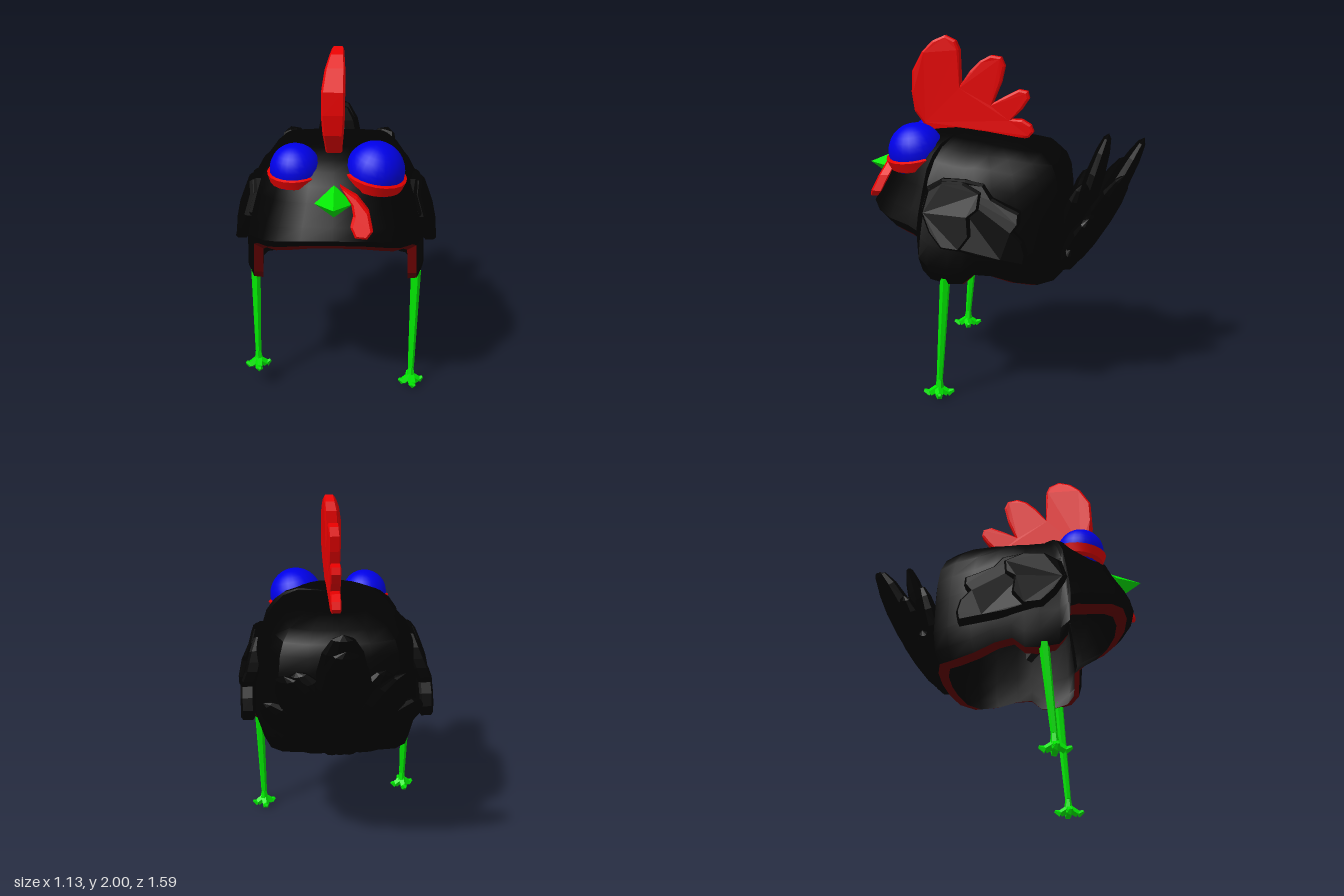
import * as THREE from 'three';
import { toCreasedNormals } from 'three/addons/utils/BufferGeometryUtils.js';

const paint = (name, color) => Object.assign(new THREE.MeshStandardMaterial({ color }), { name });

export function createModel() {
  const black = paint('black felt', 0x020202);
  const red = paint('red', 0xe70000);
  const darkRed = paint('dark red trim', 0x640000);
  const blue = paint('blue', 0x0000e7);
  const green = paint('green', 0x00e700);
  const model = new THREE.Group();
  model.name = 'birdHat';

  const add = (name, geometry, material, parent = model) => {
    const mesh = new THREE.Mesh(geometry, material);
    mesh.name = name;
    parent.add(mesh);
    return mesh;
  };
  const flat = (g) => {
    const out = g.index ? g.toNonIndexed() : g;
    out.computeVertexNormals();
    return out;
  };
  const fromIndex = (points, index) => {
    const g = new THREE.BufferGeometry();
    g.setAttribute('position', new THREE.Float32BufferAttribute(points.flat(), 3));
    g.setIndex(index);
    return g;
  };
  // Moves each vertex by a rule
  const warp = (g, rule) => {
    const p = g.attributes.position, v = new THREE.Vector3();
    for (let i = 0; i < p.count; i++) {
      rule(v.fromBufferAttribute(p, i));
      p.setXYZ(i, v.x, v.y, v.z);
    }
    return g;
  };
  // Joins closed rings of equal length
  const loft = (rings) => {
    const n = rings[0].length, index = [];
    for (let r = 0; r < rings.length - 1; r++) {
      for (let i = 0; i < n; i++) {
        const a = r * n + i, b = r * n + (i + 1) % n;
        index.push(a, b, b + n, a, b + n, a + n);
      }
    }
    return fromIndex(rings.flat(), index);
  };
  const plate = (pts, depth, bevel) => new THREE.ExtrudeGeometry(
    new THREE.Shape(pts.map((p) => new THREE.Vector2(...p))),
    { depth: depth - 2 * bevel, bevelEnabled: true, bevelSize: bevel, bevelThickness: bevel,
      bevelOffset: -bevel, bevelSegments: 1 }).translate(0, 0, bevel - depth / 2);

  // Hat shell: half plan outline as x, z, rim height
  const half = [[0, .75, 1.04], [.17, .73, 1.03], [.3, .67, 1], [.38, .59, .97], [.45, .47, .945],
    [.475, .42, .92], [.48, .41, .75], [.485, .36, .7], [.5, .25, .68], [.5, .17, .685], [.5, .1, .74],
    [.48, 0, .73], [.45, -.13, .69], [.41, -.26, .67], [.34, -.35, .68], [.18, -.39, .69], [0, -.4, .69]];
  const outline = [...half, ...half.slice(1, -1).reverse().map(([x, z, y]) => [-x, z, y])];
  // Dome rows: height, then plan scale at the side, front and back
  const dome = [[0, .95, .93, .93], [.1, .99, 1, .98], [.25, 1, .95, 1], [.5, .98, .84, .99],
    [.67, .92, .78, .98], [.8, .82, .68, .96], [.89, .66, .58, .91], [.96, .45, .42, .8],
    [.99, .22, .22, .5], [1, 0, 0, 0]];
  const crown = (z) => 1.49 - .14 * Math.max(0, .3 - z) - .1 * Math.max(0, z - .4);
  const ring = ([h, side, front, back], shrink, drop, lip) => outline.map(([x, z, y]) => {
    const f = Math.min(1, Math.max(0, (z - .1) / .5)), b = Math.min(1, Math.max(0, (.1 - z) / .48));
    const k = shrink * (side + (front - side) * f + (back - side) * b);
    const zz = .15 + (z - .15) * k;
    const base = y - lip * (z > .41 ? .04 : .015);
    return [x * k, base + (crown(zz) - drop - base) * h, zz];
  });
  const outer = dome.map((row) => ring(row, 1, 0, 0));
  const inner = dome.map((row) => ring(row, .89, .06, 1));
  add('hatShell', toCreasedNormals(loft(outer), .6), black);
  add('hatLining', toCreasedNormals(loft([...inner].reverse()), .6), black);
  add('rim', flat(loft([inner[0], outer[0]])), darkRed);

  // Comb, thinner toward the back and the tip
  const combPts = [[.4, 1.4], [.47, 1.5], [.52, 1.57], [.535, 1.68], [.53, 1.8], [.47, 1.91], [.41, 1.97],
    [.34, 2], [.28, 1.97], [.26, 1.92], [.255, 1.72], [.2, 1.8], [.14, 1.86], [.08, 1.89], [.02, 1.88],
    [0, 1.83], [.02, 1.74], [.07, 1.62], [0, 1.66], [-.08, 1.7], [-.13, 1.69], [-.14, 1.65], [-.1, 1.59],
    [-.04, 1.53], [-.1, 1.53], [-.15, 1.5], [-.165, 1.46], [-.14, 1.43], [0, 1.4]];
  add('comb', flat(warp(plate(combPts.reverse(), .12, .012).rotateY(-Math.PI / 2), (v) => {
    const t = (v.z + .165) / .7, tip = Math.max(0, v.y - 1.84), root = Math.max(0, 1.68 - v.y);
    v.x *= (.5 + .55 * t * t) * (1 - 16 * tip * tip) * (1 - root * t);
    v.x += .008 - .016 * t + tip * .12;
  })), red);

  // Bulging eyes with tilted lower lids
  const eye = (name, x, y, z, r, tilt) => {
    const g = new THREE.Group();
    g.name = name;
    g.position.set(x, y, z);
    g.rotation.set(.14, 0, tilt);
    model.add(g);
    add('eyeball', new THREE.SphereGeometry(r, 24, 16), blue, g);
    const lid = new THREE.LatheGeometry([[0, -.72], [.6, -.68], [1.02, -.44], [1.11, -.08], [.97, -.03]]
      .map(([a, b]) => new THREE.Vector2(a * r, b * r)), 20);
    add('lowerLid', toCreasedNormals(lid, .7), red, g);
  };
  eye('leftEye', .212, 1.372, .472, .157, -.2);
  eye('rightEye', -.208, 1.378, .465, .134, .04);

  // Beak
  add('beak', flat(fromIndex(
    [[0, 1.265, .8], [0, 1.34, .62], [.1, 1.255, .665], [0, 1.19, .69], [-.1, 1.255, .665]],
    [0, 2, 1, 0, 3, 2, 0, 4, 3, 0, 1, 4, 1, 2, 3, 1, 3, 4])), green);

  // Wattle hanging beside the beak
  const wattlePts = [[.03, 1.34], [.09, 1.25], [.1, 1.2], [.085, 1.15], [.11, 1.1], [.17, 1.095],
    [.2, 1.13], [.18, 1.22], [.12, 1.29]];
  add('wattle', flat(warp(plate(wattlePts, .07, .012),
    (v) => { v.z += .62 + (1.33 - v.y) * .47; })), red);

  // Wings in two layers
  const wingPts = [[.4, 1.1], [.37, 1.21], [.28, 1.26], [.15, 1.26], [.05, 1.24], [0, 1.17], [-.08, 1.13],
    [-.15, 1.1], [-.15, 1.04], [-.12, 1], [-.17, .95], [-.19, .88], [-.18, .82], [-.05, .84],
    [.08, .86], [.22, .9], [.33, .98]];
  const covertPts = [[.39, 1.08], [.36, 1.2], [.28, 1.25], [.16, 1.25], [.06, 1.2], [.07, 1.11],
    [.12, 1.07], [.11, .97], [.17, .89], [.27, .9], [.34, .98]];
  const lean = (side, x) => (v) => {
    v.x = side * x + v.x - side * (.38 * Math.max(0, v.y - 1.02) + .38 * Math.max(0, v.z - .25));
  };
  for (const [side, word] of [[1, 'left'], [-1, 'right']]) {
    const layer = (pts, depth, x) => flat(warp(
      plate([...pts].reverse(), depth, .012).rotateY(-Math.PI / 2), lean(side, x)));
    add(word + 'Wing', layer(wingPts, .08, .51), black);
    add(word + 'WingCovert', layer(covertPts, .07, .532), black);
  }

  // Tail fan: each feather runs from its base to its tip
  const up = new THREE.Vector3(0, 1, 0);
  const feather = (tip, base, width) => {
    const a = new THREE.Vector3(...base), b = new THREE.Vector3(...tip);
    const dir = b.clone().sub(a), length = dir.length();
    dir.normalize();
    const out = new THREE.Vector3(tip[0] * 1.2, 0, -.6).normalize();
    const across = new THREE.Vector3().crossVectors(dir, out).normalize();
    const thick = new THREE.Vector3().crossVectors(across, dir);
    const g = warp(new THREE.SphereGeometry(1, 10, 8), (v) => {
      v.x *= width * (1 + .15 * v.y);
      v.y *= length / 2;
      v.z *= .06;
    });
    g.applyMatrix4(new THREE.Matrix4().makeBasis(across, dir, thick)
      .setPosition(a.add(b).multiplyScalar(.5)));
    add('tailFeather', flat(g), black);
  };
  // Back row, then the shorter front row
  feather([0, 1.44, -.79], [0, .68, -.38], .15);
  feather([0, 1.46, -.59], [0, .74, -.37], .14);
  for (const s of [1, -1]) {
    feather([s * .31, 1.28, -.69], [s * .04, .68, -.37], .14);
    feather([s * .42, 1.06, -.51], [s * .04, .7, -.37], .12);
    feather([s * .36, .87, -.41], [s * .04, .72, -.37], .09);
    feather([s * .24, 1.21, -.46], [s * .06, .76, -.36], .12);
  }

  // Legs of unequal length, with four-toed feet
  const rod = (a, b, r0, r1, sides = 6) => {
    const p = new THREE.Vector3(...a), d = new THREE.Vector3(...b).sub(p);
    const g = new THREE.CylinderGeometry(r1, r0, d.length(), sides).translate(0, d.length() / 2, 0);
    g.applyQuaternion(new THREE.Quaternion().setFromUnitVectors(up, d.normalize()));
    return flat(g.translate(p.x, p.y, p.z));
  };
  const leg = (name, x, footX, y) => {
    const g = new THREE.Group();
    g.name = name;
    model.add(g);
    const ankle = [footX, y + .11, .31];
    add('shin', rod([x, .71, .267], ankle, .029, .018), green, g);
    add('ankle', rod(ankle, [footX, y + .035, .312], .017, .028), green, g);
    for (let i = 0; i < 4; i++) {
      const t = i * Math.PI / 2 + .2, dx = Math.sin(t), dz = Math.cos(t);
      const knee = [footX + dx * .045, y + .024, .315 + dz * .05];
      add('toe', rod([footX, y + .055, .315], knee, .024, .022, 5), green, g);
      add('claw', rod(knee, [footX + dx * .07, y + .04, .315 + dz * .085], .022, .009, 5), green, g);
    }
  };
  leg('leftLeg', .455, .44, 0);
  leg('rightLeg', -.455, -.45, .1);

  return model;
}
